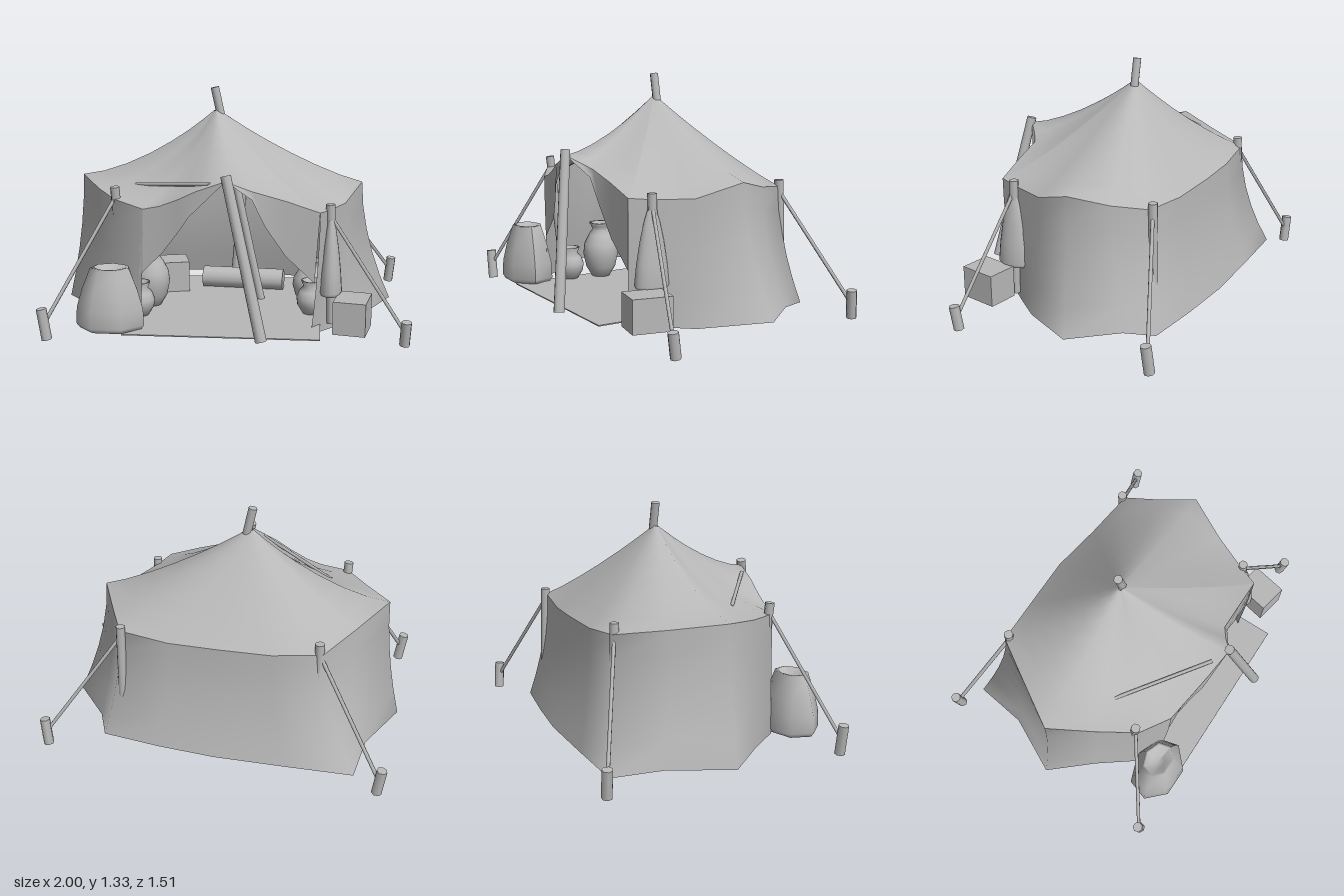
import * as THREE from 'three';

const grey = new THREE.MeshStandardMaterial({ color: 0xb8b8b8 });
grey.name = 'plain grey';
const greyCloth = grey.clone();
greyCloth.name = 'plain grey cloth';
greyCloth.side = THREE.DoubleSide;

const V = (p) => new THREE.Vector3(...p);
const lerp = (a, b, t) => a + (b - a) * t;

// Smooth surface through equally long rows of points
function loft(rows) {
  const n = rows[0].length, index = [];
  for (let r = 0; r < rows.length - 1; r++)
    for (let c = 0; c < n - 1; c++) {
      const a = r * n + c, b = a + n;
      index.push(a, b, a + 1, a + 1, b, b + 1);
    }
  const g = new THREE.BufferGeometry();
  g.setAttribute('position', new THREE.Float32BufferAttribute(rows.flat(2), 3));
  g.setIndex(index);
  g.computeVertexNormals();
  return g;
}

// Average each point of a closed loop (last point repeats the first) with its neighbours
function relax(loop) {
  const n = loop.length - 1;
  return loop.map((p, i) => p.map((v, k) =>
    0.5 * v + 0.25 * (loop[(i + n - 1) % n][k] + loop[(i + 1) % n][k])));
}

// Wall columns from the front left, round the back, to the front right: [eave, hem]
const columns = [
  [[0.50, 0.72, 0.47], [0.46, 0.04, 0.45]],
  [[0.55, 0.71, 0.35], [0.57, 0.04, 0.33]],
  [[0.64, 0.71, 0.15], [0.70, 0.04, 0.18]],
  [[0.74, 0.79, -0.08], [0.92, 0.08, -0.15]],
  [[0.64, 0.74, -0.28], [0.72, 0.08, -0.39]],
  [[0.55, 0.72, -0.46], [0.65, 0.07, -0.55]],
  [[0.27, 0.70, -0.50], [0.33, 0.07, -0.60]],
  [[-0.02, 0.72, -0.54], [0.00, 0.08, -0.645]],
  [[-0.30, 0.72, -0.54], [-0.40, 0.08, -0.65]],
  [[-0.57, 0.75, -0.53], [-0.78, 0.08, -0.65]],
  [[-0.72, 0.78, -0.29], [-0.82, 0.08, -0.35]],
  [[-0.88, 0.82, -0.03], [-0.98, 0.08, -0.03]],
  [[-0.74, 0.78, 0.20], [-0.78, 0.08, 0.20]],
  [[-0.61, 0.76, 0.40], [-0.63, 0.08, 0.40]],
  [[-0.44, 0.73, 0.50], [-0.47, 0.08, 0.47]],
];

// Top edges of the two front flaps, running to the awning tip
const tip = [0.01, 0.9, 0.58];
const rightTop = [[-0.44, 0.73, 0.50], [-0.35, 0.75, 0.515], [-0.25, 0.79, 0.535], [-0.15, 0.84, 0.555], tip];
const rightCut = [[-0.468, 0.36, 0.482], [-0.34, 0.49, 0.49], [-0.25, 0.61, 0.52], [-0.19, 0.7, 0.55], tip];
const leftTop = [tip, [0.08, 0.86, 0.52], [0.14, 0.83, 0.48], [0.32, 0.78, 0.475], [0.50, 0.72, 0.47]];
const leftCut = [tip, [0.14, 0.79, 0.5], [0.21, 0.64, 0.48], [0.32, 0.48, 0.47], [0.475, 0.33, 0.455]];

export function createModel() {
  const model = new THREE.Group();
  const add = (name, geometry, material = grey, pos = [0, 0, 0]) => {
    const m = new THREE.Mesh(geometry, material);
    m.name = name;
    m.position.set(...pos);
    model.add(m);
    return m;
  };
  // Straight round bar between two points
  const bar = (name, from, to, r0, r1 = r0, sides = 8) => {
    const a = V(from), b = V(to), d = b.clone().sub(a);
    const m = add(name, new THREE.CylinderGeometry(r1, r0, d.length(), sides));
    m.position.copy(a).add(b).multiplyScalar(0.5);
    m.quaternion.setFromUnitVectors(new THREE.Vector3(0, 1, 0), d.normalize());
  };
  const lathe = (name, profile, pos, sides = 20) =>
    add(name, new THREE.LatheGeometry(profile.map(([r, y]) => new THREE.Vector2(r, y)), sides), greyCloth, pos);

  // Roof: full towards the back and left, sagging into a hollow at the front right
  const apex = [-0.1, 1.21, -0.05];
  const eave = [...columns.map((c) => c[0]), ...rightTop.slice(1), ...leftTop.slice(1)];
  const soft = relax(relax(eave));
  const roofRows = [0.02, 0.1, 0.22, 0.36, 0.53, 0.7, 0.86, 1].map((t) => eave.map((e, i) => {
    const p = e.map((v, k) => lerp(soft[i][k], v, t));
    const dx = p[0] - apex[0], dz = p[2] - apex[2], d = Math.hypot(dx, dz);
    const hollow = Math.max(0, (0.49 * dz - 0.87 * dx) / d) ** 12;
    const sag = 1.2 + (0.15 * dz - 0.06 * dx) / d + 0.6 * hollow;
    return [apex[0] + dx * t, lerp(apex[1], p[1], 1 - Math.pow(1 - t, sag)), apex[2] + dz * t];
  }));
  add('roof', loft(roofRows), greyCloth);

  // Walls flaring out at the hem
  const wallRows = [0, 0.2, 0.4, 0.6, 0.8, 1].map((s) => columns.map(([e, h]) => {
    const f = Math.pow(s, 1.8);
    return [lerp(e[0], h[0], f), lerp(e[1], h[1], s), lerp(e[2], h[2], f)];
  }));
  add('walls', loft(wallRows), greyCloth);

  // Front flaps either side of the doorway
  add('rightDoorFlap', loft([rightTop, rightCut]), greyCloth);
  add('leftDoorFlap', loft([leftTop, leftCut]), greyCloth);

  // Ground rug
  add('rug', new THREE.BoxGeometry(1.05, 0.006, 1.15), grey, [-0.015, 0.08, 0.075]);

  // Main poles
  bar('centrePole', [0.16, 0.08, -0.05], [-0.11, 1.33, -0.055], 0.024);
  bar('frontPole', [0.205, 0.09, 0.725], [0.01, 0.93, 0.58], 0.031, 0.028);
  bar('backPole', [-0.03, 0.08, -0.5], [0.02, 0.71, -0.5], 0.026);
  bar('awningStick', [-0.53, 0.805, 0.19], [-0.08, 0.875, 0.53], 0.011, 0.011, 6);

  // Corner poles with guy ropes and pegs: [pole foot, pole top, peg foot, peg top]
  [
    [[0.57, 0.08, 0.36], [0.555, 0.745, 0.36], [0.962, 0.005, 0.475], [0.968, 0.14, 0.495]],
    [[0.55, 0.08, -0.49], [0.54, 0.755, -0.47], [0.95, 0.04, -0.655], [0.965, 0.195, -0.64]],
    [[-0.56, 0.08, -0.52], [-0.55, 0.805, -0.51], [-0.91, 0.045, -0.72], [-0.93, 0.2, -0.725]],
    [[-0.58, 0.08, 0.31], [-0.612, 0.825, 0.38], [-0.95, 0.035, 0.63], [-0.975, 0.205, 0.63]],
  ].forEach(([foot, top, pegFoot, pegTop]) => {
    bar('cornerPole', foot, top, 0.024, 0.026);
    bar('peg', pegFoot, pegTop, 0.029, 0.029, 7);
    const mid = V(pegFoot).lerp(V(pegTop), 0.5).toArray();
    bar('guyRope', mid, [top[0], top[1] - 0.06, top[2]], 0.011, 0.011, 6);
  });

  // Cloth bag hanging on the front left pole
  lathe('hangingBag', [[0.025, 0.66], [0.045, 0.6], [0.068, 0.5], [0.088, 0.38], [0.1, 0.27], [0.085, 0.25]], [0.56, 0, 0.365])
    .scale.x = 0.65;

  // Jars in two pairs
  const jar = [[0, 0], [0.055, 0], [0.09, 0.06], [0.107, 0.14], [0.1, 0.2], [0.07, 0.26], [0.052, 0.285],
    [0.055, 0.31], [0.07, 0.33], [0.055, 0.33], [0.042, 0.29]];
  const pot = [[0, 0], [0.05, 0], [0.08, 0.05], [0.085, 0.09], [0.07, 0.13], [0.046, 0.155],
    [0.06, 0.19], [0.05, 0.19], [0.036, 0.155]];
  lathe('tallJar', jar, [-0.465, 0.085, 0.115]);
  lathe('smallPot', pot, [-0.5, 0.085, 0.31]);
  lathe('leftTallJar', jar, [0.455, 0.085, 0.0]).scale.set(1, 0.76, 1);
  lathe('leftSmallPot', pot, [0.46, 0.085, 0.2]);

  // Grain sack with a sunken top
  const sackRows = [[0.085, 0], [0.085, 0.88], [0.11, 0.98], [0.2, 0.95], [0.3, 0.8], [0.415, 0.56], [0.42, 0.48], [0.38, 0.25], [0.38, 0]]
    .map(([y, k]) => Array.from({ length: 8 }, (_, i) => {
      const a = (i / 7) * Math.PI * 2 + 0.25;
      return [-0.615 + Math.cos(a) * 0.195 * k, y, 0.535 + Math.sin(a) * 0.15 * k];
    }));
  add('sack', loft(sackRows), greyCloth);

  // Boxes and bolster
  add('frontBox', new THREE.BoxGeometry(0.175, 0.18, 0.215), grey, [0.68, 0.17, 0.465]).rotation.y = -0.2;
  add('innerBox', new THREE.BoxGeometry(0.19, 0.19, 0.19), grey, [-0.395, 0.17, -0.23]).rotation.y = 0.25;
  bar('bolster', [-0.205, 0.14, -0.3], [0.285, 0.14, -0.26], 0.064, 0.064, 14);

  return model;
}
